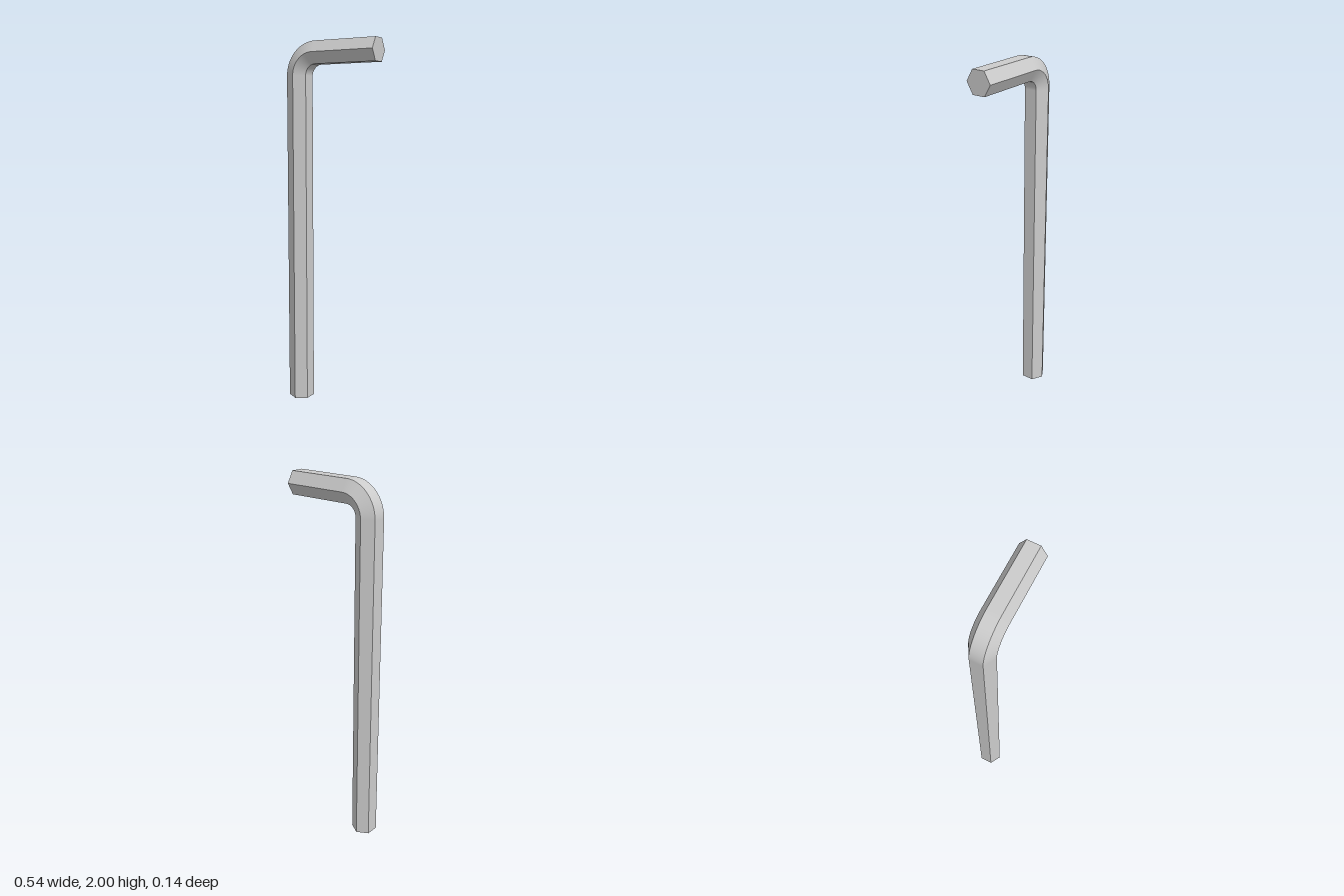
import * as THREE from 'three';

const R = 0.07;                        // hexagon corner radius
const FLAT = R * Math.cos(Math.PI / 6);
const BEND = 0.12;                     // centreline bend radius
const STEPS = 20;
const LEFT = -0.272, RIGHT = 0.272, TOP = 2;
const CX = LEFT + FLAT + BEND, CY = TOP - FLAT - BEND; // bend centre

// Cross-section stations: foot, quarter bend, tip of the short arm
function stations() {
  const list = [{ t: 0, p: new THREE.Vector3(CX - BEND, 0, 0) }];
  for (let i = 0; i <= STEPS; i++) {
    const t = (i / STEPS) * Math.PI / 2;
    list.push({ t, p: new THREE.Vector3(CX - BEND * Math.cos(t), CY + BEND * Math.sin(t), 0) });
  }
  list.push({ t: Math.PI / 2, p: new THREE.Vector3(RIGHT, CY + BEND, 0) });
  return list;
}

// Direction across the bar at section angle a, with the bar turned by t
const across = (t, a) =>
  new THREE.Vector3(-Math.cos(t) * Math.cos(a), Math.sin(t) * Math.cos(a), Math.sin(a));

const corner = (s, i) => across(s.t, (i + 0.5) * Math.PI / 3).multiplyScalar(R).add(s.p);

function hexBarGeometry() {
  const pos = [], nor = [], idx = [];
  const add = (v, n) => { pos.push(...v.toArray()); nor.push(...n.toArray()); };
  const path = stations();

  // Six faces, smooth along the bend and sharp at the corners
  for (let i = 0; i < 6; i++) {
    path.forEach((s, k) => {
      const a = pos.length / 3;
      const n = across(s.t, (i + 1) * Math.PI / 3);
      add(corner(s, i), n);
      add(corner(s, i + 1), n);
      if (k < path.length - 1) idx.push(a, a + 1, a + 3, a, a + 3, a + 2);
    });
  }

  // Flat hexagonal ends
  const cap = (s, n, flip) => {
    const a = pos.length / 3;
    for (let i = 0; i < 6; i++) add(corner(s, i), n);
    for (let i = 1; i < 5; i++) idx.push(a, a + (flip ? i + 1 : i), a + (flip ? i : i + 1));
  };
  cap(path[0], new THREE.Vector3(0, -1, 0), true);
  cap(path[path.length - 1], new THREE.Vector3(1, 0, 0), false);

  const g = new THREE.BufferGeometry();
  g.setAttribute('position', new THREE.Float32BufferAttribute(pos, 3));
  g.setAttribute('normal', new THREE.Float32BufferAttribute(nor, 3));
  g.setIndex(idx);
  return g;
}

export function createModel() {
  const group = new THREE.Group();
  group.name = 'hexKey';
  const bar = new THREE.Mesh(hexBarGeometry(), new THREE.MeshStandardMaterial({ color: 0xcccccc }));
  bar.name = 'bentHexBar';
  group.add(bar);
  return group;
}
